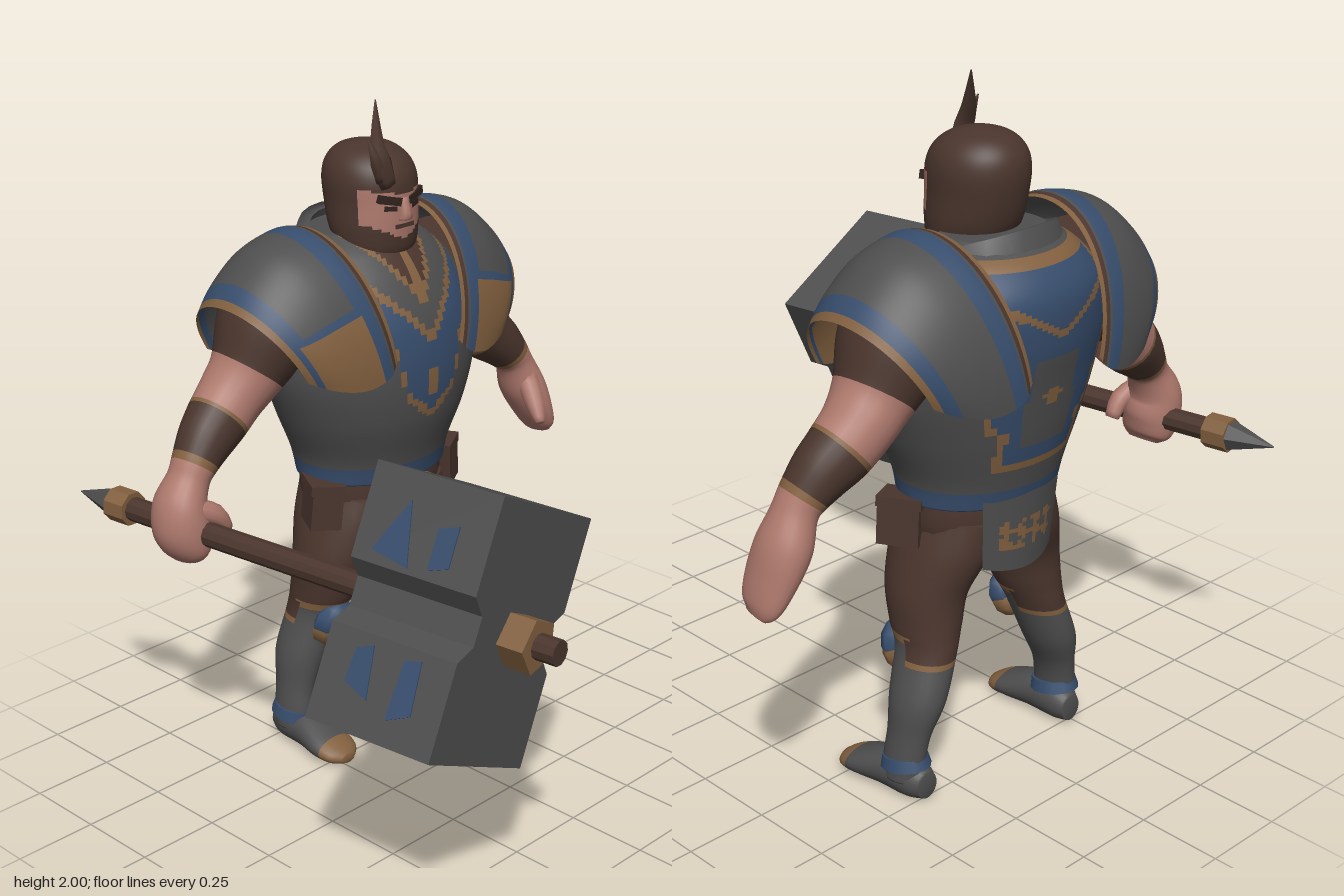
import * as THREE from 'three';

const MAT = {};
const COLOURS = {
  steel: 0x4e4e4e, leather: 0x4a352d, bronze: 0x82603f, blue: 0x374d6c,
  skin: 0xae796d, shadowBrown: 0x31231e,
};
for (const [name, color] of Object.entries(COLOURS)) {
  MAT[name] = new THREE.MeshStandardMaterial({ color, side: THREE.DoubleSide });
  MAT[name].name = name;
}
const CX = 0.068; // the body stands a little to its left of the hammer

function add(parent, name, geo, mat, pos = [0, 0, 0], rot = [0, 0, 0]) {
  const m = new THREE.Mesh(geo, typeof mat === 'string' ? MAT[mat] : mat);
  m.name = name;
  m.position.set(...pos);
  m.rotation.set(...rot);
  parent.add(m);
  return m;
}

// Mesh over rows of points; colour is a name or a rule (cell centre, row 0..1, column 0..1) => name
function grid(parent, name, rows, { wrap = false, colour = 'steel', flip = false } = {}) {
  const n = rows[0].length, cols = wrap ? n : n - 1, buckets = {};
  for (let i = 0; i < rows.length - 1; i++) for (let j = 0; j < cols; j++) {
    const k = (j + 1) % n, a = i * n + j, b = i * n + k, c = a + n, d = b + n;
    const mid = rows[i][j].clone().add(rows[i][k]).add(rows[i + 1][j]).add(rows[i + 1][k]).multiplyScalar(0.25);
    const key = typeof colour === 'string' ? colour : colour(mid, (i + 0.5) / (rows.length - 1), (j + 0.5) / cols);
    (buckets[key] ??= []).push(...(flip ? [a, d, c, a, b, d] : [a, c, d, a, d, b]));
  }
  const geo = new THREE.BufferGeometry().setFromPoints(rows.flat());
  const index = [], mats = [];
  for (const [key, list] of Object.entries(buckets)) {
    geo.addGroup(index.length, list.length, mats.length);
    mats.push(MAT[key]);
    for (const v of list) index.push(v);
  }
  geo.setIndex(index);
  geo.computeVertexNormals();
  return add(parent, name, geo, mats);
}

// Smooth in-between rows of a small table
function sample(rows, steps) {
  const out = [], at = i => rows[Math.min(Math.max(i, 0), rows.length - 1)];
  for (let i = 0; i < rows.length - 1; i++) for (let s = 0; s < steps; s++) {
    const t = s / steps, [p, q, r, w] = [at(i - 1), at(i), at(i + 1), at(i + 2)];
    out.push(q.map((_, k) => q[k] + 0.5 * t * (r[k] - p[k] + t * (2 * p[k] - 5 * q[k] + 4 * r[k] - w[k] + t * (3 * (q[k] - r[k]) + w[k] - p[k])))));
  }
  out.push(rows[rows.length - 1]);
  return out;
}

// Closed loft through ellipses [x, y, z, half width, half depth]
function loft(parent, name, rings, colour, { n = 20, steps = 3, axis = null, side = 1 } = {}) {
  const rs = sample(rings.map(([x, ...r]) => [x * side, ...r]), steps);
  const pts = rs.map(r => new THREE.Vector3(r[0], r[1], r[2])), Z = new THREE.Vector3(0, 0, 1);
  const rows = rs.map((r, i) => {
    const t = axis ? new THREE.Vector3(...axis)
      : pts[Math.min(i + 1, pts.length - 1)].clone().sub(pts[Math.max(i - 1, 0)]).normalize();
    const u = Math.abs(t.z) > 0.99 ? new THREE.Vector3(1, 0, 0) : t.clone().cross(Z).normalize();
    const v = u.clone().cross(t);
    return Array.from({ length: n }, (_, j) => {
      const a = j / n * Math.PI * 2;
      return pts[i].clone().addScaledVector(u, Math.max(r[3], 0) * Math.cos(a)).addScaledVector(v, Math.max(r[4], 0) * Math.sin(a));
    });
  });
  const cap = p => Array.from({ length: n }, () => p.clone());
  return grid(parent, name, [cap(pts[0]), ...rows, cap(pts[pts.length - 1])], { wrap: true, colour });
}

const UP = [0, 1, 0];

// Painted breastplate and backplate
function torsoColour({ x, y, z }) {
  const ax = Math.abs(x);
  if (y < 0.925) return 'blue';
  if (z > -0.4) {
    if (y > 1.41 + ax * 1.5) return ax < 0.015 || y < 1.44 + ax * 1.5 ? 'bronze' : 'leather';
    if (ax > 0.22) return 'steel';
    const low = ax < 0.1 ? 1.07 + ax * 0.8 : ax < 0.125 ? 1.15 + (ax - 0.1) * 5 : 1.275 + (ax - 0.125) * 0.7;
    const high = 1.31 + ax;
    if (Math.hypot(x, y - 1.205) < 0.03 || (ax < 0.012 && y > 1.15 && y < 1.2)) return 'bronze';
    if (y > low && y < high + 0.03) return y < low + 0.03 || y > high ? 'bronze' : 'blue';
    return 'steel';
  }
  const w = y > 1.3 ? 0.23 - (y - 1.3) * 0.15 : y > 1.12 ? 0.23 - (1.3 - y) * 0.35 : 0.13;
  if (y < 0.99 || y > 1.58 || ax > w + 0.025) return 'steel';
  if (ax > w || y < 1.015 || y > 1.555) return 'bronze';
  const v = y - 1.38 - ax * 0.5;
  if (Math.abs(v) < 0.012 || ax + Math.abs(y - 1.2) < 0.035) return 'bronze';
  return ax < 0.09 && y < 1.32 && y > 1.06 ? 'steel' : 'blue';
}

function buildTrunk(g) {
  loft(g, 'torsoArmour', [
    [0, 0.87, -0.405, 0.25, 0.2], [0, 0.95, -0.405, 0.265, 0.22], [0, 1.08, -0.4, 0.32, 0.255],
    [0, 1.22, -0.405, 0.365, 0.275], [0, 1.36, -0.425, 0.365, 0.28], [0, 1.48, -0.45, 0.32, 0.255],
    [0, 1.56, -0.455, 0.24, 0.2], [0, 1.61, -0.45, 0.15, 0.13]], torsoColour, { n: 112, steps: 12, axis: UP });
  // Collar, tall behind and low in front
  const collar = [[0.23, 1.52, 0], [0.19, 1.585, 0.06], [0.155, 1.575, 0.06]].map(([r, y, tilt]) =>
    Array.from({ length: 24 }, (_, j) => {
      const a = j / 24 * Math.PI * 2, s = Math.sin(a);
      return new THREE.Vector3(r * Math.cos(a), y - tilt * s * (s > 0 ? 1.4 : 1), -0.44 + r * 0.85 * s);
    }));
  grid(g, 'collar', collar, { wrap: true });
  loft(g, 'hips', [[0, 0.9, -0.405, 0.235, 0.185], [0, 0.8, -0.405, 0.24, 0.185],
    [0, 0.72, -0.405, 0.2, 0.165], [0, 0.67, -0.41, 0.08, 0.12]], 'leather', { axis: [0, -1, 0] });
  add(g, 'buckle', new THREE.BoxGeometry(0.13, 0.085, 0.03), 'bronze', [0, 0.815, -0.217]);
  add(g, 'buckleInset', new THREE.BoxGeometry(0.07, 0.035, 0.008), 'leather', [0, 0.815, -0.2]);
  // Hanging cloth behind
  const cloth = Array.from({ length: 19 }, (_, i) => Array.from({ length: 21 }, (_, j) => {
    const s = j / 10 - 1, t = i / 18;
    return new THREE.Vector3(s * (0.15 - t * 0.015), 0.9 - t * 0.235 + s * s * t * 0.02, -0.612 + s * s * 0.04 + t * 0.012);
  }));
  grid(g, 'backCloth', cloth, {
    colour: (p, u, v) => u > 0.35 && u < 0.72 && Math.abs(v - 0.5) < 0.34 && Math.sin(v * 34) + Math.sin(u * 30 + v * 9) > 0 ? 'bronze' : 'steel',
  });
}

function buildHead(g) {
  loft(g, 'head', [[0, 1.525, -0.35, 0.06, 0.06], [0, 1.56, -0.36, 0.115, 0.105], [0, 1.62, -0.375, 0.133, 0.13],
    [0, 1.7, -0.385, 0.134, 0.143], [0, 1.77, -0.39, 0.134, 0.146], [0, 1.82, -0.395, 0.117, 0.128],
    [0, 1.855, -0.4, 0.078, 0.085], [0, 1.872, -0.4, 0.02, 0.02]],
  ({ x, y, z }) => z > -0.315 && y > 1.6 + Math.abs(x) * 0.45 && y < 1.735 + Math.abs(x) * 0.15 ? 'skin' : 'leather',
  { n: 64, steps: 8, axis: UP });
  loft(g, 'neck', [[0, 1.42, -0.4, 0.12, 0.12], [0, 1.58, -0.39, 0.1, 0.11]], 'leather', { axis: UP });
  loft(g, 'nose', [[0, 1.725, -0.25, 0.015, 0.012], [0, 1.68, -0.242, 0.02, 0.018], [0, 1.66, -0.245, 0.024, 0.018]], 'skin', { n: 8, axis: [0, -1, 0] });
  add(g, 'mouth', new THREE.BoxGeometry(0.07, 0.012, 0.02), 'leather', [0, 1.642, -0.252]);
  for (const s of [1, -1]) {
    add(g, 'brow', new THREE.BoxGeometry(0.075, 0.024, 0.025), 'shadowBrown', [s * 0.05, 1.722, -0.26], [0, s * 0.3, s * 0.22]);
    add(g, 'eye', new THREE.BoxGeometry(0.04, 0.014, 0.01), 'shadowBrown', [s * 0.048, 1.697, -0.255], [0, s * 0.35, s * 0.1]);
  }
  // Forelock of two blades
  loft(g, 'forelock', [[-0.06, 1.77, -0.25, 0.03, 0.018], [-0.085, 1.84, -0.255, 0.04, 0.018],
    [-0.075, 1.9, -0.28, 0.026, 0.015], [-0.035, 2, -0.325, 0.002, 0.002]], 'leather', { n: 6 });
  loft(g, 'forelockTip', [[-0.085, 1.79, -0.25, 0.025, 0.012], [-0.11, 1.85, -0.25, 0.02, 0.012],
    [-0.125, 1.91, -0.265, 0.002, 0.002]], 'leather', { n: 6 });
}

function buildLeg(g, s) {
  loft(g, 'leg', [[0.12, 0.82, -0.405, 0.1, 0.16], [0.135, 0.72, -0.4, 0.125, 0.16], [0.185, 0.6, -0.395, 0.108, 0.128],
    [0.205, 0.5, -0.41, 0.092, 0.112], [0.222, 0.43, -0.43, 0.078, 0.098], [0.268, 0.3, -0.447, 0.074, 0.088],
    [0.298, 0.2, -0.445, 0.055, 0.07], [0.312, 0.12, -0.44, 0.052, 0.068], [0.312, 0.06, -0.44, 0.055, 0.068]],
  ({ y, z }) => {
    const top = z > -0.43 ? 0.48 : 0.42;
    return y > top ? 'leather' : y > top - 0.018 ? 'bronze' : 'steel';
  }, { n: 28, steps: 8, axis: [0, -1, 0], side: s });
  add(g, 'ankleBand', new THREE.CylinderGeometry(0.06, 0.068, 0.035, 14), 'blue', [s * 0.31, 0.11, -0.44], [0.15, 0, 0]).scale.z = 1.15;
  // Knee guard: plate tipped forward at the top
  const knee = new THREE.SphereGeometry(1, 8, 6);
  add(g, 'kneeGuard', knee, 'blue', [s * 0.225, 0.415, -0.335], [0.3, s * 0.2, 0]).scale.set(0.08, 0.07, 0.045);
  add(g, 'kneeTrim', knee, 'bronze', [s * 0.228, 0.395, -0.342], [0.3, s * 0.2, 0]).scale.set(0.077, 0.065, 0.044);
  loft(g, 'boot', [[0.3, 0.05, -0.52, 0.035, 0.04], [0.305, 0.058, -0.47, 0.055, 0.058], [0.308, 0.058, -0.38, 0.06, 0.058],
    [0.31, 0.042, -0.29, 0.072, 0.042], [0.31, 0.028, -0.23, 0.06, 0.028], [0.31, 0.02, -0.2, 0.025, 0.014]],
  ({ y, z }) => z > -0.26 || y < 0.016 ? 'bronze' : 'steel', { n: 24, steps: 5, axis: [0, 0, 1], side: s });
  // Belt pouch with flap
  add(g, 'pouch', new THREE.BoxGeometry(0.095, 0.125, 0.12), 'leather', [s * 0.245, 0.805, -0.36], [0, s * 0.5, s * 0.1]);
  add(g, 'pouchFlap', new THREE.BoxGeometry(0.105, 0.03, 0.13), 'leather', [s * 0.24, 0.868, -0.36], [0, s * 0.5, s * 0.1]);
}

function buildArm(g, s, grips) {
  const hand = grips
    ? [[0.73, 0.93, -0.43, 0.075, 0.085], [0.73, 0.86, -0.425, 0.083, 0.09], [0.715, 0.8, -0.42, 0.06, 0.08], [0.705, 0.775, -0.42, 0.03, 0.05]]
    : [[0.73, 0.92, -0.43, 0.068, 0.085], [0.765, 0.84, -0.42, 0.055, 0.085], [0.797, 0.77, -0.415, 0.036, 0.07], [0.812, 0.742, -0.41, 0.015, 0.04]];
  loft(g, 'arm', [[0.3, 1.44, -0.45, 0.16, 0.19], [0.37, 1.36, -0.45, 0.14, 0.165], [0.44, 1.26, -0.455, 0.108, 0.12],
    [0.5, 1.195, -0.46, 0.097, 0.102], [0.56, 1.14, -0.455, 0.094, 0.092], [0.615, 1.095, -0.445, 0.084, 0.082],
    [0.668, 1.04, -0.435, 0.066, 0.07], [0.695, 1, -0.432, 0.06, 0.066], ...hand],
  (p, u) => {
    const k = u * 11.3;
    if (k < 2.2) return 'leather';
    if (k < 4 || k > 6.35) return 'skin';
    return k < 4.2 || k > 6.05 ? 'bronze' : 'leather';
  }, { n: 22, steps: 6, side: s });
  loft(g, 'thumb', grips
    ? [[0.72, 0.93, -0.38, 0.035, 0.03], [0.66, 0.9, -0.36, 0.032, 0.03], [0.625, 0.85, -0.36, 0.022, 0.022]]
    : [[0.71, 0.95, -0.39, 0.035, 0.04], [0.685, 0.88, -0.33, 0.03, 0.032], [0.667, 0.83, -0.29, 0.016, 0.016]],
  'skin', { n: 10, side: s });

  // Pauldron: arches described by [top x, top y, foot x, foot y, half depth]
  const arches = sample([[0.205, 1.64, 0.13, 1.28, 0.285], [0.27, 1.648, 0.17, 1.24, 0.295], [0.39, 1.615, 0.25, 1.22, 0.285],
    [0.485, 1.54, 0.34, 1.235, 0.26], [0.54, 1.47, 0.42, 1.27, 0.22]], 8);
  const rows = arches.map(([xt, yt, xb, yb, d]) => Array.from({ length: 49 }, (_, j) => {
    const a = j / 48 * Math.PI, f = Math.sin(a);
    return new THREE.Vector3(s * (xb + (xt - xb) * f), yb + (yt - yb) * f, -0.435 + d * Math.cos(a));
  }));
  grid(g, 'pauldron', rows, {
    flip: s > 0,
    colour: (p, u, v) => {
      if (u < 0.1 || u > 0.91) return 'bronze';
      if (u < 0.15) return 'leather';
      if (v < 0.19 && u > 0.3 && u < 0.85) return v < 0.16 ? 'bronze' : 'blue';
      if (u > 0.78) return 'blue';
      return u > 0.2 && u < 0.34 ? 'blue' : 'steel';
    },
  });
}

function buildHammer() {
  const h = new THREE.Group();
  h.name = 'hammer';
  h.position.set(-0.59, 0.855, -0.005);
  h.rotation.set(0.012, 0.13, -0.467, 'YXZ');
  const rod = (name, r1, r2, z0, z1, sides, mat) => {
    const geo = new THREE.CylinderGeometry(r1, r2, z1 - z0, sides).toNonIndexed();
    geo.computeVertexNormals();
    add(h, name, geo, mat, [0, 0, (z0 + z1) / 2], [Math.PI / 2, 0, 0]);
  };
  rod('shaft', 0.036, 0.036, -0.72, 0.85, 10, 'leather');
  rod('rearCollar', 0.052, 0.052, -0.71, -0.635, 8, 'bronze');
  rod('rearSpike', 0.045, 0.002, -0.85, -0.71, 6, 'steel');
  rod('frontCollar', 0.078, 0.078, 0.7, 0.785, 5, 'bronze');
  // Head block with a notch on each long side
  const half = [[0.23, -0.345], [0.23, -0.085], [0.175, -0.04], [0.175, 0.04], [0.23, 0.085], [0.23, 0.345]];
  const outline = [...half, ...half.map(([x, y]) => [-x, -y])].map(p => new THREE.Vector2(...p));
  const head = new THREE.ExtrudeGeometry(new THREE.Shape(outline), { depth: 0.395, bevelEnabled: false });
  add(h, 'hammerHead', head, 'steel', [0, 0, 0.31]);
  // Painted angular marks on the long sides
  const marks = [[[-0.02, 0.1], [-0.14, 0.12], [-0.06, 0.27]], [[0.04, 0.11], [0.1, 0.13], [0.1, 0.24], [0.04, 0.22]],
    [[0.04, -0.28], [0.11, -0.25], [0.1, -0.11], [0.05, -0.12]], [[-0.11, -0.22], [-0.03, -0.25], [-0.05, -0.11], [-0.1, -0.13]]];
  for (const s of [1, -1]) for (const m of marks) {
    const geo = new THREE.ExtrudeGeometry(new THREE.Shape(m.map(p => new THREE.Vector2(...p))), { depth: 0.005, bevelEnabled: false });
    add(h, 'headMark', geo, 'blue', [s * 0.229, 0, 0.507], [0, s * Math.PI / 2, 0]);
  }
  return h;
}

export function createModel() {
  const model = new THREE.Group();
  model.name = 'armouredHammerFighter';
  const body = new THREE.Group();
  body.name = 'body';
  body.position.x = CX;
  buildTrunk(body);
  buildHead(body);
  for (const s of [1, -1]) {
    buildLeg(body, s);
    buildArm(body, s, s < 0);
  }
  model.add(body, buildHammer());
  return model;
}
